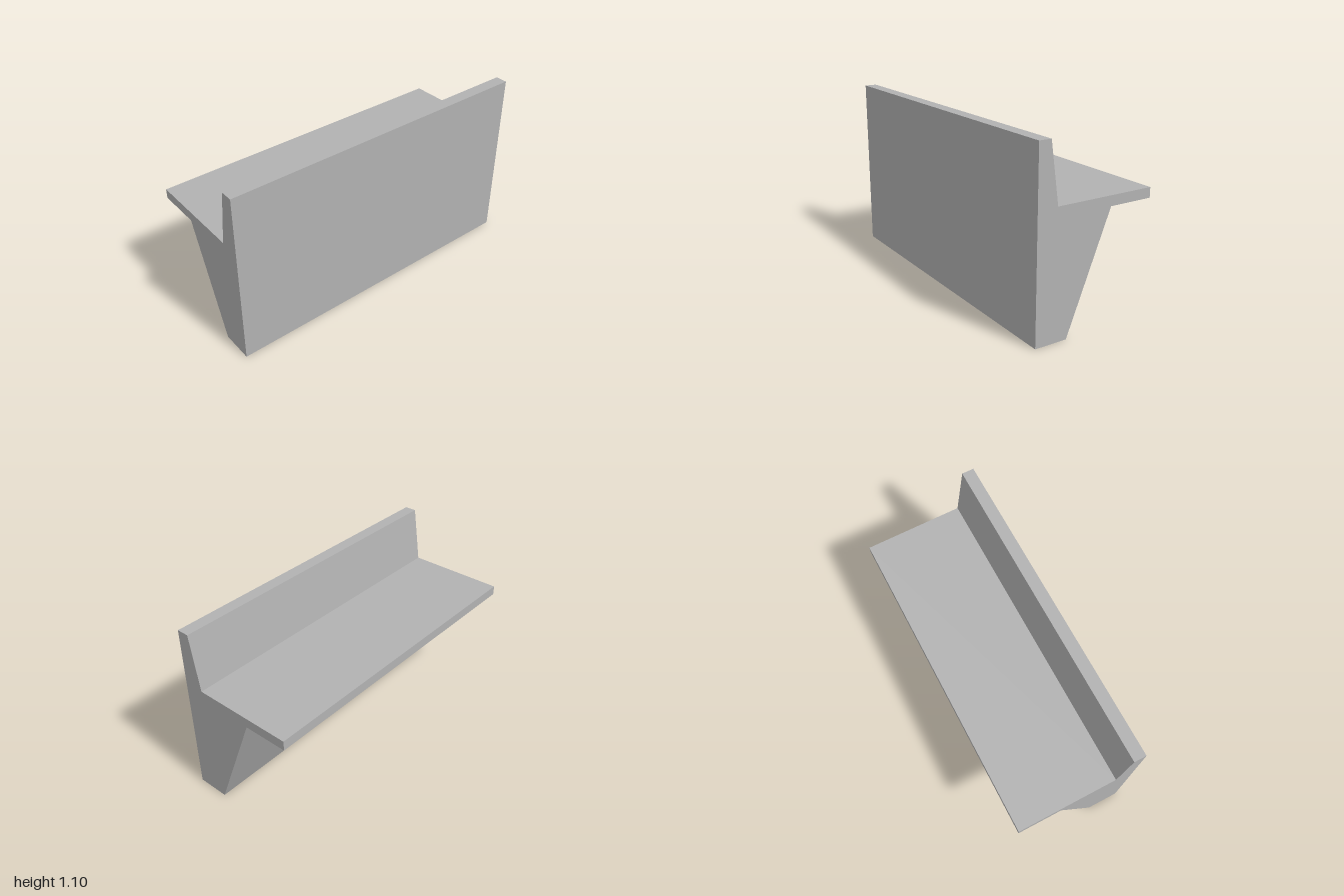
import * as THREE from 'three';

export function createModel() {
  const group = new THREE.Group();
  group.name = 'parapetBarrier';
  const concrete = new THREE.MeshStandardMaterial({ color: 0xb2b2b2 });
  concrete.name = 'concrete grey';

  // Cross-section as [z, y]: upright front wall, rear ledge and tapered underside
  const profile = [
    [0.375, 0], [0.175, 0], [-0.1, 0.69], [-0.375, 0.69],
    [-0.375, 0.75], [0.25, 0.75], [0.3, 1.1], [0.375, 1.1],
  ];
  const shape = new THREE.Shape(profile.map(([z, y]) => new THREE.Vector2(-z, y)));

  // Extruded along the full length, then turned to run along x
  const geometry = new THREE.ExtrudeGeometry(shape, { depth: 2, bevelEnabled: false });
  geometry.translate(0, 0, -1).rotateY(Math.PI / 2);

  const beam = new THREE.Mesh(geometry, concrete);
  beam.name = 'ledgedBeam';
  group.add(beam);
  return group;
}
